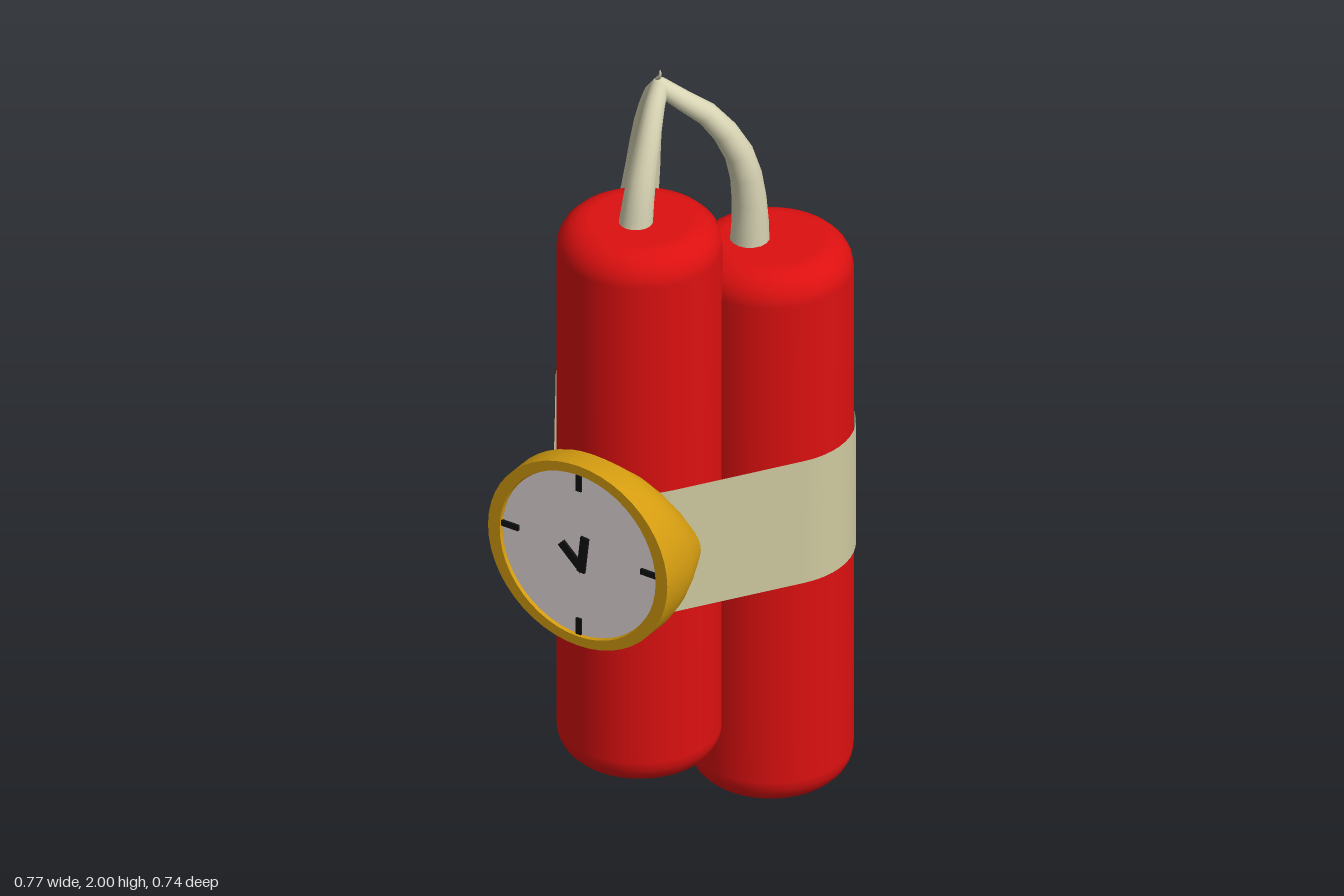
import * as THREE from 'three';
import { toCreasedNormals } from 'three/addons/utils/BufferGeometryUtils.js';

const mat = (color, side = THREE.FrontSide) => new THREE.MeshStandardMaterial({ color, side });
const red = mat(0xdd1010), cream = mat(0xd8d4b4), tape = mat(0xcfcaa0, THREE.DoubleSide);
const gold = mat(0xd49c10), white = mat(0xe9dddd), black = mat(0x111111);

const R = 0.195;
const STICKS = [
  { x: 0.183, z: -0.17, y0: 0.07, y1: 1.525 },
  { x: 0, z: 0.11, y0: 0.205, y1: 1.66 },
  { x: -0.183, z: -0.17, y0: 0, y1: 1.455 },
];

function add(parent, name, geometry, material) {
  const mesh = new THREE.Mesh(geometry, material);
  mesh.name = name;
  parent.add(mesh);
  return mesh;
}

// Cylinder with rounded rims
function stickGeometry(height) {
  const b = 0.075, pts = [new THREE.Vector2(0, 0)];
  for (let i = 0; i <= 5; i++) {
    const a = (i / 5) * Math.PI / 2;
    pts.push(new THREE.Vector2(R - b + b * Math.sin(a), b - b * Math.cos(a)));
  }
  const top = pts.map(p => new THREE.Vector2(p.x, height - p.y)).reverse();
  return new THREE.LatheGeometry([...pts, ...top], 40);
}

// Tube whose radius shrinks from r0 to r1
function fuseGeometry(points, r0, r1, segments = 8, sides = 16) {
  const curve = new THREE.CatmullRomCurve3(points.map(p => new THREE.Vector3(...p)));
  const g = new THREE.TubeGeometry(curve, segments, 1, sides);
  const pos = g.attributes.position, v = new THREE.Vector3();
  for (let i = 0; i < pos.count; i++) {
    const t = Math.floor(i / (sides + 1)) / segments;
    const c = curve.getPointAt(t);
    v.fromBufferAttribute(pos, i).sub(c).multiplyScalar(r0 + (r1 - r0) * t).add(c);
    pos.setXYZ(i, v.x, v.y, v.z);
  }
  return g;
}

// Strip stretched around the three sticks
function bandGeometry(y0, y1) {
  const r = 0.2, tangent = Math.atan2(0.183, 0.28);
  const angles = [-Math.PI / 2, tangent, Math.PI - tangent, Math.PI * 1.5];
  const path = [];
  STICKS.forEach((s, k) => {
    for (let i = 0; i <= 16; i++) {
      const a = angles[k] + (angles[k + 1] - angles[k]) * i / 16;
      path.push([s.x + r * Math.cos(a), s.z + r * Math.sin(a)]);
    }
  });
  path.push(path[0]);
  path.reverse();
  const g = new THREE.PlaneGeometry(1, 1, path.length - 1, 1), pos = g.attributes.position;
  for (let i = 0; i < pos.count; i++) {
    const [x, z] = path[i % path.length];
    pos.setXYZ(i, x, i < path.length ? y1 : y0, z);
  }
  g.computeVertexNormals();
  return g;
}

// Clock shell: sections of [z, half width, half height]
function clockShellGeometry() {
  const sections = [
    [0.187, 0, 0], [0.187, 0.225, 0.11], [0.21, 0.235, 0.155], [0.24, 0.246, 0.195],
    [0.27, 0.254, 0.225], [0.305, 0.255, 0.245], [0.37, 0.253, 0.247],
    [0.37, 0.22, 0.222], [0.355, 0.215, 0.217],
  ];
  const g = new THREE.LatheGeometry(sections.map(([z, w]) => new THREE.Vector2(w, z)), 48);
  g.rotateX(Math.PI / 2);
  const pos = g.attributes.position;
  for (let i = 0; i < pos.count; i++) {
    const [, w, h] = sections[i % sections.length];
    if (w > 0) pos.setY(i, pos.getY(i) * h / w);
  }
  g.computeVertexNormals();
  return toCreasedNormals(g, 0.7);
}

// Flat bar on the dial between two points
function dialBar(parent, name, [x0, y0], [x1, y1], width) {
  const length = Math.hypot(x1 - x0, y1 - y0);
  const bar = add(parent, name, new THREE.BoxGeometry(length, width, 0.008), black);
  bar.position.set((x0 + x1) / 2, (y0 + y1) / 2, 0.364);
  bar.rotation.z = Math.atan2(y1 - y0, x1 - x0);
}

export function createModel() {
  const model = new THREE.Group();
  model.name = 'stickBundle';

  STICKS.forEach((s, i) => {
    add(model, `stick${i + 1}`, stickGeometry(s.y1 - s.y0), red).position.set(s.x, s.y0, s.z);
  });

  add(model, 'band', bandGeometry(0.69, 1.025), tape);

  // Cords meeting above the sticks
  const knot = [-0.028, 1.95, -0.018];
  add(model, 'leftCord', fuseGeometry([[0.14, 1.5, -0.145], [0.14, 1.62, -0.145],
    [0.125, 1.76, -0.125], [0.07, 1.87, -0.08], [0, 1.925, -0.035], knot], 0.048, 0.022), cream);
  add(model, 'frontCord', fuseGeometry([[0, 1.63, 0.13], [0, 1.74, 0.107],
    [-0.008, 1.85, 0.06], [-0.02, 1.92, 0.015], knot], 0.042, 0.022), cream);
  add(model, 'rightCord', fuseGeometry([[-0.172, 1.43, -0.118], [-0.15, 1.6, -0.122],
    [-0.122, 1.76, -0.105], [-0.075, 1.88, -0.06], [-0.045, 1.93, -0.03], knot], 0.053, 0.022), cream);
  add(model, 'knot', new THREE.SphereGeometry(0.022, 12, 8), cream).position.set(...knot);
  add(model, 'cordTip', fuseGeometry([[-0.03, 1.95, -0.018], [-0.032, 1.97, -0.015],
    [-0.022, 1.983, -0.01], [-0.022, 2, -0.01]], 0.009, 0.002, 6, 6), cream);

  // Clock on the front
  const clock = new THREE.Group();
  clock.name = 'clock';
  clock.position.y = 0.865;
  model.add(clock);
  add(clock, 'clockShell', clockShellGeometry(), gold);
  add(clock, 'clockFace', new THREE.CircleGeometry(0.22, 48), white).position.z = 0.362;
  dialBar(clock, 'topTick', [0, 0.175], [0, 0.218], 0.015);
  dialBar(clock, 'bottomTick', [0, -0.175], [0, -0.218], 0.015);
  dialBar(clock, 'leftTick', [0.175, 0.015], [0.217, 0.015], 0.015);
  dialBar(clock, 'rightTick', [-0.17, 0.015], [-0.217, 0.015], 0.015);
  dialBar(clock, 'minuteHand', [0.006, -0.045], [0.017, 0.052], 0.022);
  dialBar(clock, 'hourHand', [0.012, -0.04], [-0.05, 0.018], 0.022);

  return model;
}
